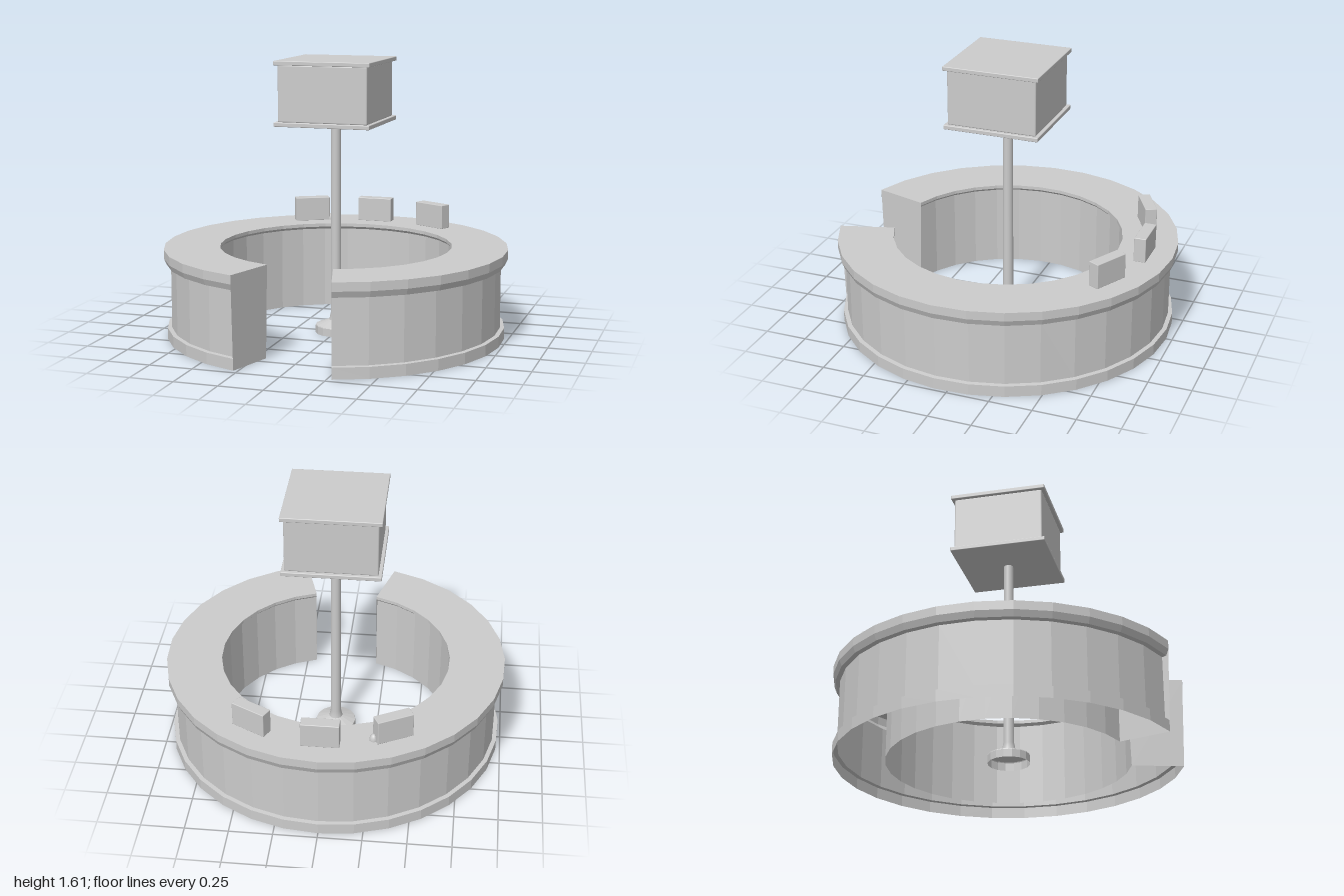
import * as THREE from 'three';
import { RoundedBoxGeometry } from 'three/addons/geometries/RoundedBoxGeometry.js';

const CENTRE_Z = 0.02;
const GAP = THREE.MathUtils.degToRad(16.3); // half angle of the entrance

const flat = new THREE.MeshStandardMaterial({ color: 0xcccccc, flatShading: true, side: THREE.DoubleSide });
const smooth = new THREE.MeshStandardMaterial({ color: 0xcccccc, side: THREE.DoubleSide });

function add(parent, name, geometry, material, x = 0, y = 0, z = 0) {
  const mesh = new THREE.Mesh(geometry, material);
  mesh.name = name;
  mesh.position.set(x, y, z);
  parent.add(mesh);
  return mesh;
}

const points = (list) => list.map(([r, y]) => new THREE.Vector2(r, y));

export function createModel() {
  const model = new THREE.Group();
  model.name = 'kiosk';
  const kiosk = new THREE.Group();
  kiosk.name = 'roundKiosk';
  kiosk.position.z = CENTRE_Z;
  model.add(kiosk);

  // Ring counter, hollow and open underneath: plinth, wall, flared rim, top, inner wall
  const profile = points([
    [0.985, 0], [0.985, 0.065], [0.96, 0.067], [0.96, 0.435], [0.985, 0.44],
    [1, 0.475], [1, 0.525], [0.675, 0.525], [0.675, 0.505], [0.69, 0.49], [0.69, 0],
  ]);
  const ring = new THREE.LatheGeometry(profile, 28, GAP, Math.PI * 2 - GAP * 2);
  add(kiosk, 'counter', ring, flat);

  // Flat panels closing the counter at both sides of the entrance
  for (const side of [1, -1]) {
    const panel = new THREE.ShapeGeometry(new THREE.Shape(points([
      [0.69, 0], [0.985, 0], [1, 0.525], [0.675, 0.525],
    ])));
    add(kiosk, side > 0 ? 'leftEndPanel' : 'rightEndPanel', panel, flat)
      .rotation.y = -Math.PI / 2 + side * GAP;
  }

  // Pole rising from a stepped foot that is open below
  const pole = new THREE.LatheGeometry(points([
    [0.028, 1.24], [0.031, 0.12], [0.04, 0.078],
  ]), 16);
  add(kiosk, 'pole', pole, smooth);
  const foot = new THREE.LatheGeometry(points([
    [0.04, 0.078], [0.118, 0.05], [0.12, 0.045], [0.12, 0],
  ]), 16);
  add(kiosk, 'poleFoot', foot, flat);

  // Sign box between two thin plates
  add(kiosk, 'signBox', new RoundedBoxGeometry(0.525, 0.325, 0.525, 2, 0.008), smooth, 0, 1.423, 0);
  for (const [name, y] of [['signBottomPlate', 1.25], ['signTopPlate', 1.596]]) {
    add(kiosk, name, new RoundedBoxGeometry(0.563, 0.025, 0.563, 2, 0.004), smooth, 0, y, 0);
  }

  // Three display boxes along the back of the counter
  for (const [name, x, z, turn] of [
    ['rightDisplay', -0.393, -0.735, 0.485],
    ['middleDisplay', 0, -0.835, 0],
    ['leftDisplay', 0.395, -0.735, -0.485],
  ]) {
    add(kiosk, name, new RoundedBoxGeometry(0.215, 0.147, 0.07, 2, 0.004), smooth, x, 0.597, z)
      .rotation.y = turn;
  }

  // Small dome beside the right display
  const knob = new THREE.SphereGeometry(0.024, 12, 6, 0, Math.PI * 2, 0, Math.PI / 2);
  knob.scale(1, 1.6, 1);
  add(kiosk, 'counterKnob', knob, smooth, -0.288, 0.525, -0.775);

  return model;
}
